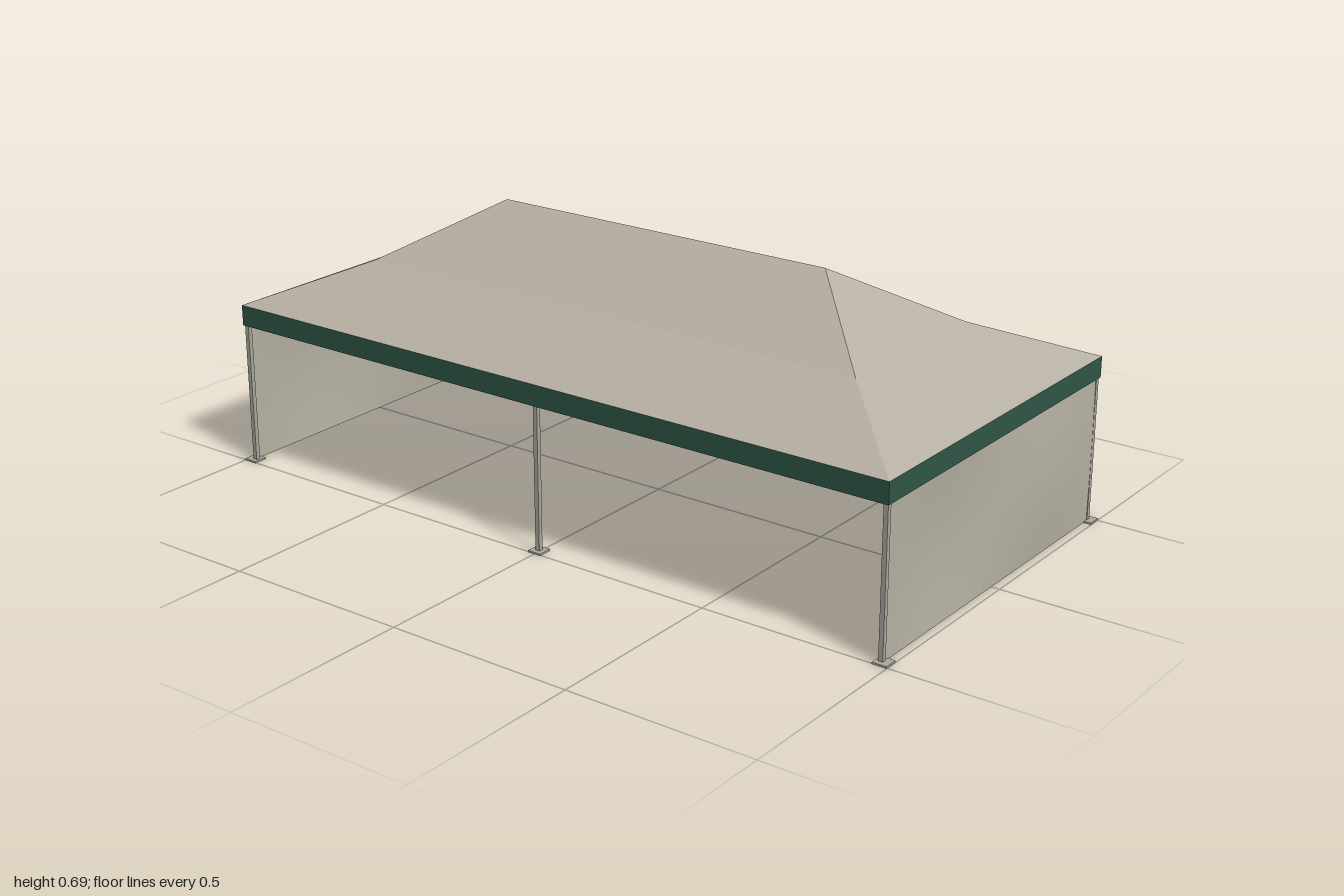
import * as THREE from 'three';

const canvas = new THREE.MeshStandardMaterial({ color: 0xb5b0a2 });
canvas.name = 'beige canvas';
canvas.side = THREE.DoubleSide;
const green = new THREE.MeshStandardMaterial({ color: 0x2f5646 });
green.name = 'dark green trim';
green.side = THREE.DoubleSide;
const metal = new THREE.MeshStandardMaterial({ color: 0xaaa69c });
metal.name = 'frame metal';

const W = 0.985, D = 0.494; // half width and half depth at the eaves
const EAVE = 0.436, TRIM = 0.381;

// Rectangular rings [halfX, halfZ, y] joined from bottom to top by four flat panels each
function ringShell(rings, material, name) {
  const pos = [];
  const corners = ([x, z, y]) => [[x, y, z], [x, y, -z], [-x, y, -z], [-x, y, z]];
  for (let r = 0; r < rings.length - 1; r++) {
    const lo = corners(rings[r]), hi = corners(rings[r + 1]);
    for (let i = 0; i < 4; i++) {
      const j = (i + 1) % 4;
      pos.push(...lo[i], ...lo[j], ...hi[j]);
      // A panel that closes to a point on the ridge needs only one triangle
      if (hi[i].some((v, k) => Math.abs(v - hi[j][k]) > 1e-6)) pos.push(...lo[i], ...hi[j], ...hi[i]);
    }
  }
  const g = new THREE.BufferGeometry();
  g.setAttribute('position', new THREE.Float32BufferAttribute(pos, 3));
  g.computeVertexNormals();
  const mesh = new THREE.Mesh(g, material);
  mesh.name = name;
  return mesh;
}

// Cloth wall that billows gently; local +z is outward
function clothWall(width, wave, name) {
  const h = 0.4;
  const g = new THREE.PlaneGeometry(width, h, 32, 10);
  g.translate(0, h / 2 + 0.002, 0);
  const p = g.attributes.position;
  for (let i = 0; i < p.count; i++) {
    const lift = Math.sin(Math.PI * Math.min(1, Math.max(0, p.getY(i) / h)));
    p.setZ(i, 0.011 * lift * wave(p.getX(i)));
  }
  g.computeVertexNormals();
  const mesh = new THREE.Mesh(g, canvas);
  mesh.name = name;
  return mesh;
}

function box(parent, name, size, at) {
  const mesh = new THREE.Mesh(new THREE.BoxGeometry(...size), metal);
  mesh.position.set(...at);
  mesh.name = name;
  parent.add(mesh);
}

export function createModel() {
  const model = new THREE.Group();
  model.name = 'partyTent';

  // Hipped roof with a shallower lower slope, and the trim hanging from its eaves
  model.add(ringShell([[W, D, EAVE], [0.74, 0.247, 0.543], [0.493, 0, 0.694]], canvas, 'roof'));
  model.add(ringShell([[W, D, TRIM], [W, D, EAVE]], green, 'valance'));

  // Back and side walls; the front stays open
  const back = clothWall(1.96, x => -Math.cos(2 * Math.PI * x / 1.3), 'backWall');
  back.rotation.y = Math.PI;
  back.position.z = -0.489;
  model.add(back);
  for (const s of [1, -1]) {
    const side = clothWall(0.972, x => Math.sin(2 * Math.PI * x), s > 0 ? 'leftWall' : 'rightWall');
    side.rotation.y = s * Math.PI / 2;
    side.position.x = s * 0.98;
    model.add(side);
  }

  // Legs with square foot plates
  const frame = new THREE.Group();
  frame.name = 'frame';
  const t = 0.012;
  for (const z of [-0.484, 0.484]) {
    for (const x of [-0.976, 0, 0.976]) {
      box(frame, 'leg', [t, 0.415, t], [x, 0.2075, z]);
      box(frame, 'footPlate', [0.038, 0.005, 0.038], [x * 1.005, 0.0025, z]);
    }
    // Eave rails along the length
    box(frame, 'longRail', [1.952, t, t], [0, 0.413, z]);
  }
  for (const x of [-0.976, 0.976]) box(frame, 'shortRail', [t, t, 0.968], [x, 0.413, 0]);
  model.add(frame);

  return model;
}
